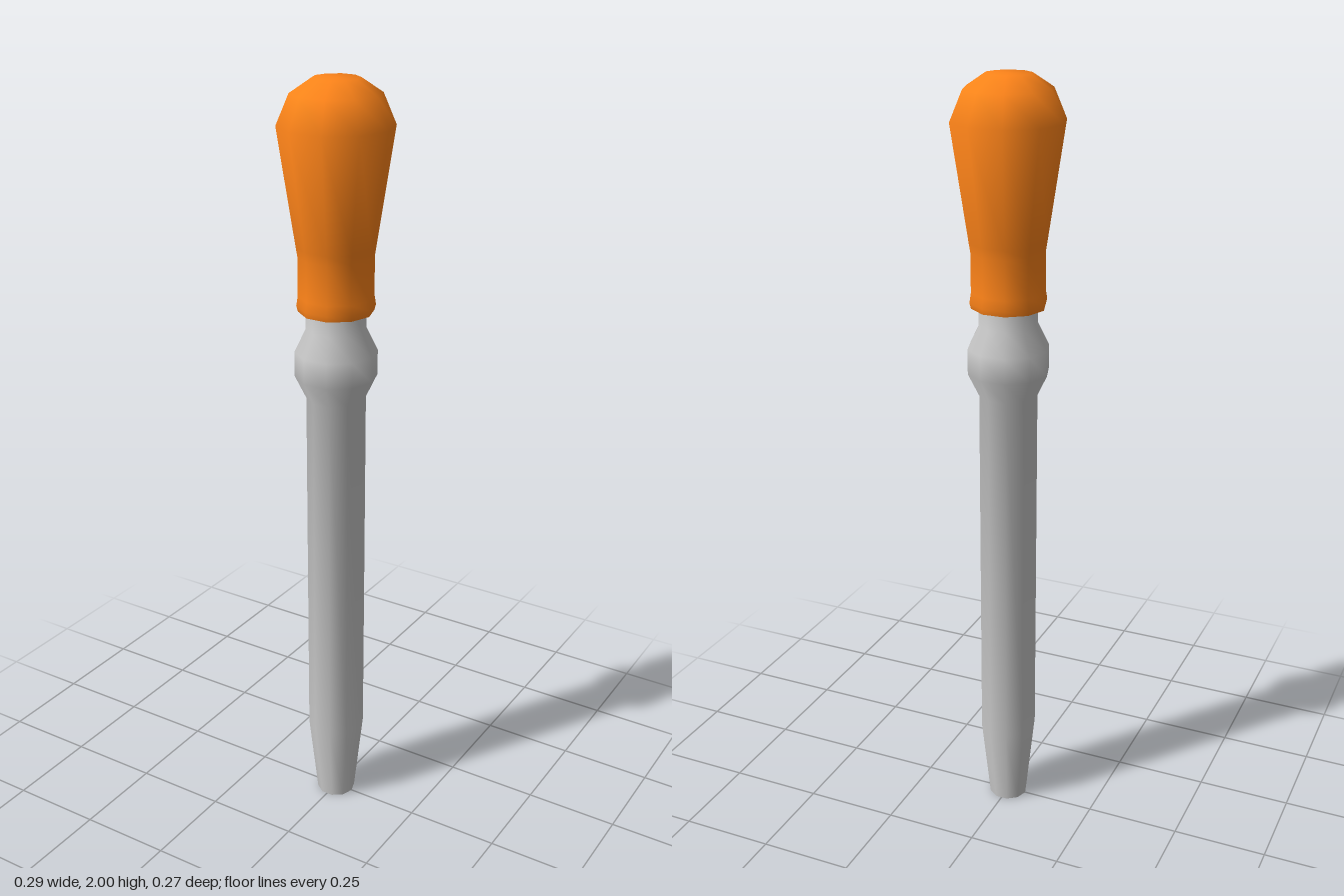
import * as THREE from 'three';
import { toCreasedNormals } from 'three/addons/utils/BufferGeometryUtils.js';

const SIDES = 10;

// Ten-sided turned part with a corner on +x; only sharp rims stay creased
function turned(name, profile, color) {
  const points = profile.map(([r, y]) => new THREE.Vector2(r, y));
  const lathe = new THREE.LatheGeometry(points, SIDES, Math.PI / 2, Math.PI * 2);
  const mesh = new THREE.Mesh(
    toCreasedNormals(lathe, THREE.MathUtils.degToRad(62)),
    new THREE.MeshStandardMaterial({ color })
  );
  mesh.name = name;
  return mesh;
}

export function createModel() {
  const group = new THREE.Group();
  group.name = 'dropper';

  // Hollow tube: down the bore, around the tip, up the outside with its bulge
  group.add(turned('glassTube', [
    [0.05, 1.5], [0.05, 0.24], [0.032, 0],
    [0.052, 0], [0.076, 0.225], [0.076, 1.205],
    [0.105, 1.265], [0.105, 1.33], [0.076, 1.39],
    [0.076, 1.5], [0.05, 1.5],
  ], 0xcccccc));

  // Rubber squeeze bulb: collar around the tube, flaring to a rounded top
  group.add(turned('rubberBulb', [
    [0.07, 1.5], [0.076, 1.435], [0.095, 1.435],
    [0.099, 1.45], [0.095, 1.475], [0.095, 1.575], [0.099, 1.6],
    [0.143, 1.89], [0.111, 1.965], [0.058, 2], [0, 2],
  ], 0xff8419));

  return group;
}
